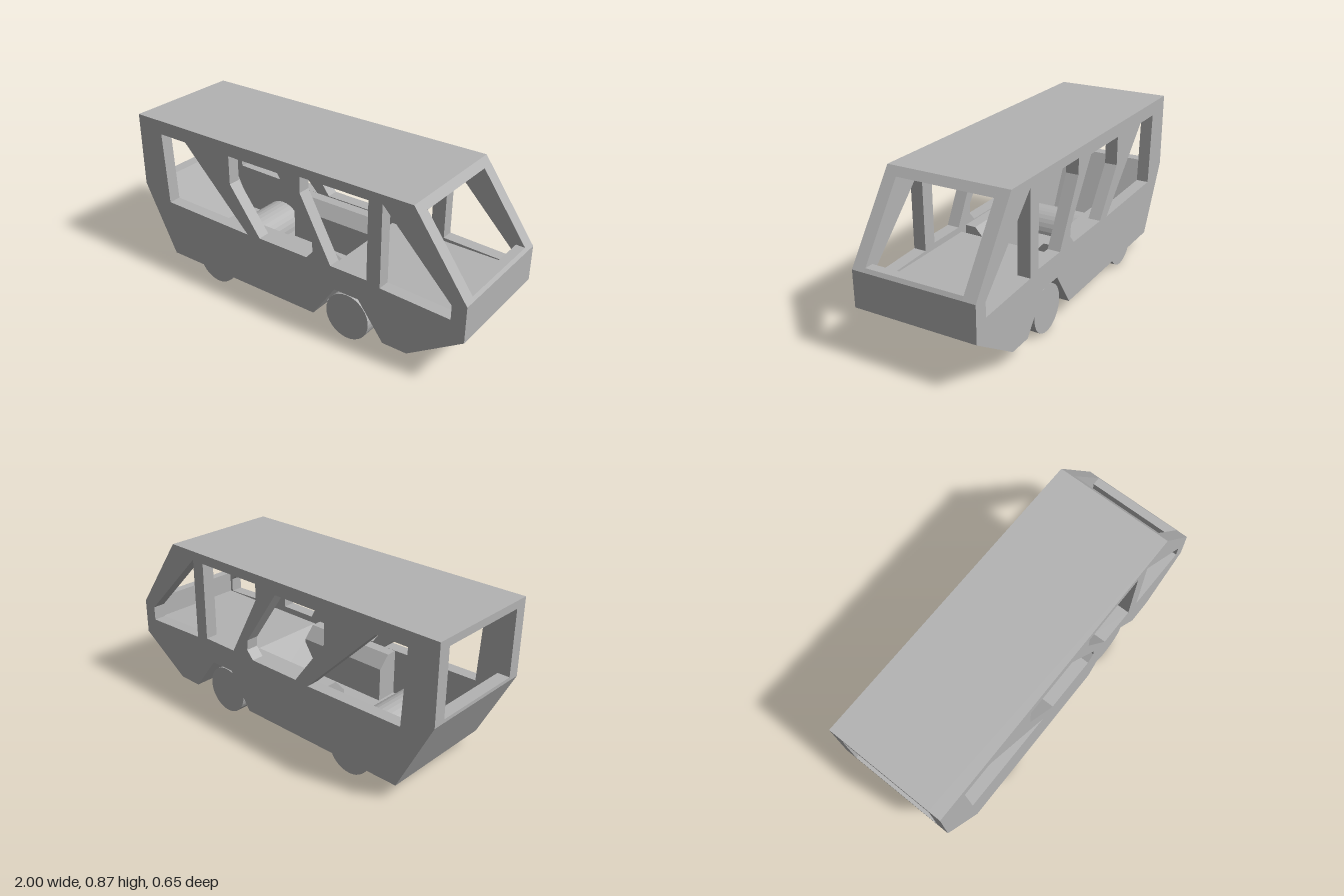
import * as THREE from 'three';

const grey = new THREE.MeshStandardMaterial({ color: 0xb3b3b3 });
grey.name = 'plain grey';

const HALF = 0.325;   // half width of the body
const INNER = 0.258;  // inner face of the side walls

const vecs = (pts) => pts.map(([x, y]) => new THREE.Vector2(x, y));

// Side profile extruded along z from z0 to z1
function panel(name, pts, z0, z1, holes = []) {
  const shape = new THREE.Shape(vecs(pts));
  for (const h of holes) shape.holes.push(new THREE.Path(vecs(h)));
  const geo = new THREE.ExtrudeGeometry(shape, { depth: z1 - z0, bevelEnabled: false });
  geo.translate(0, 0, z0);
  const mesh = new THREE.Mesh(geo, grey);
  mesh.name = name;
  return mesh;
}

export function createModel() {
  const model = new THREE.Group();
  model.name = 'van';

  const outline = [
    [-1, 0.865], [-1, 0.46], [-0.81, 0.08], [0.16, 0.08], [0.29, 0.27], [0.43, 0.27],
    [0.575, 0.08], [0.71, 0.08], [1, 0.27], [1, 0.46], [0.71, 0.865],
  ];
  const windows = [
    [[-0.84, 0.79], [-0.665, 0.79], [-0.26, 0.385], [-0.82, 0.395]],
    [[-0.365, 0.795], [-0.05, 0.795], [0.155, 0.49], [0.16, 0.435], [0.12, 0.39], [-0.18, 0.39], [-0.365, 0.64]],
    [[0.085, 0.815], [0.475, 0.815], [0.475, 0.395], [0.265, 0.395], [0.085, 0.73]],
    [[0.55, 0.82], [0.925, 0.44], [0.925, 0.365], [0.55, 0.38]],
  ];

  // Side walls with window openings
  model.add(panel('leftWall', outline, INNER, HALF, windows));
  model.add(panel('rightWall', outline, -HALF, -INNER, windows));

  // Panels between the walls; the gaps form the windscreen and rear window
  const across = {
    roof: [[-1, 0.825], [0.739, 0.825], [0.71, 0.865], [-1, 0.865]],
    rearPanel: [[-1, 0.478], [-1, 0.46], [-0.81, 0.08], [-0.77, 0.14], [-0.935, 0.478]],
    rearFloor: [[-0.81, 0.08], [-0.65, 0.08], [-0.65, 0.14], [-0.77, 0.14]],
    middleFloor: [[-0.37, 0.08], [0.16, 0.08], [0.2, 0.14], [-0.37, 0.14]],
    frontDeck: [
      [0.16, 0.08], [0.29, 0.27], [0.43, 0.27], [0.575, 0.08], [0.71, 0.08], [1, 0.27], [1, 0.46],
      [0.988, 0.478], [0.94, 0.478], [0.94, 0.362], [0.24, 0.362], [0.09, 0.14],
    ],
  };
  for (const [name, pts] of Object.entries(across)) model.add(panel(name, pts, -INNER, INNER));

  // Inner benches along both walls, with a chamfered inner edge
  for (const side of [1, -1]) {
    const profile = vecs([[0.14, 0.13], [0.26, 0.13], [0.26, 0.385], [0.2, 0.385], [0.14, 0.32]]
      .map(([z, y]) => [-side * z, y]));
    const geo = new THREE.ExtrudeGeometry(new THREE.Shape(profile), { depth: 0.53, bevelEnabled: false });
    geo.rotateY(Math.PI / 2);
    const bench = new THREE.Mesh(geo, grey);
    bench.position.x = -0.33;
    bench.name = side > 0 ? 'leftBench' : 'rightBench';
    model.add(bench);
  }

  // Roller wheels spanning the width
  for (const [name, x] of [['frontWheel', 0.352], ['rearWheel', -0.512]]) {
    const geo = new THREE.CylinderGeometry(0.125, 0.125, 0.61, 32).toNonIndexed();
    geo.rotateX(Math.PI / 2);
    geo.computeVertexNormals();
    const wheel = new THREE.Mesh(geo, grey);
    wheel.position.set(x, 0.125, 0);
    wheel.name = name;
    model.add(wheel);
  }

  // Mount above the front wheel
  const mount = new THREE.Mesh(new THREE.BoxGeometry(0.13, 0.07, 0.5), grey);
  mount.position.set(0.355, 0.237, 0);
  mount.name = 'wheelMount';
  model.add(mount);

  return model;
}
